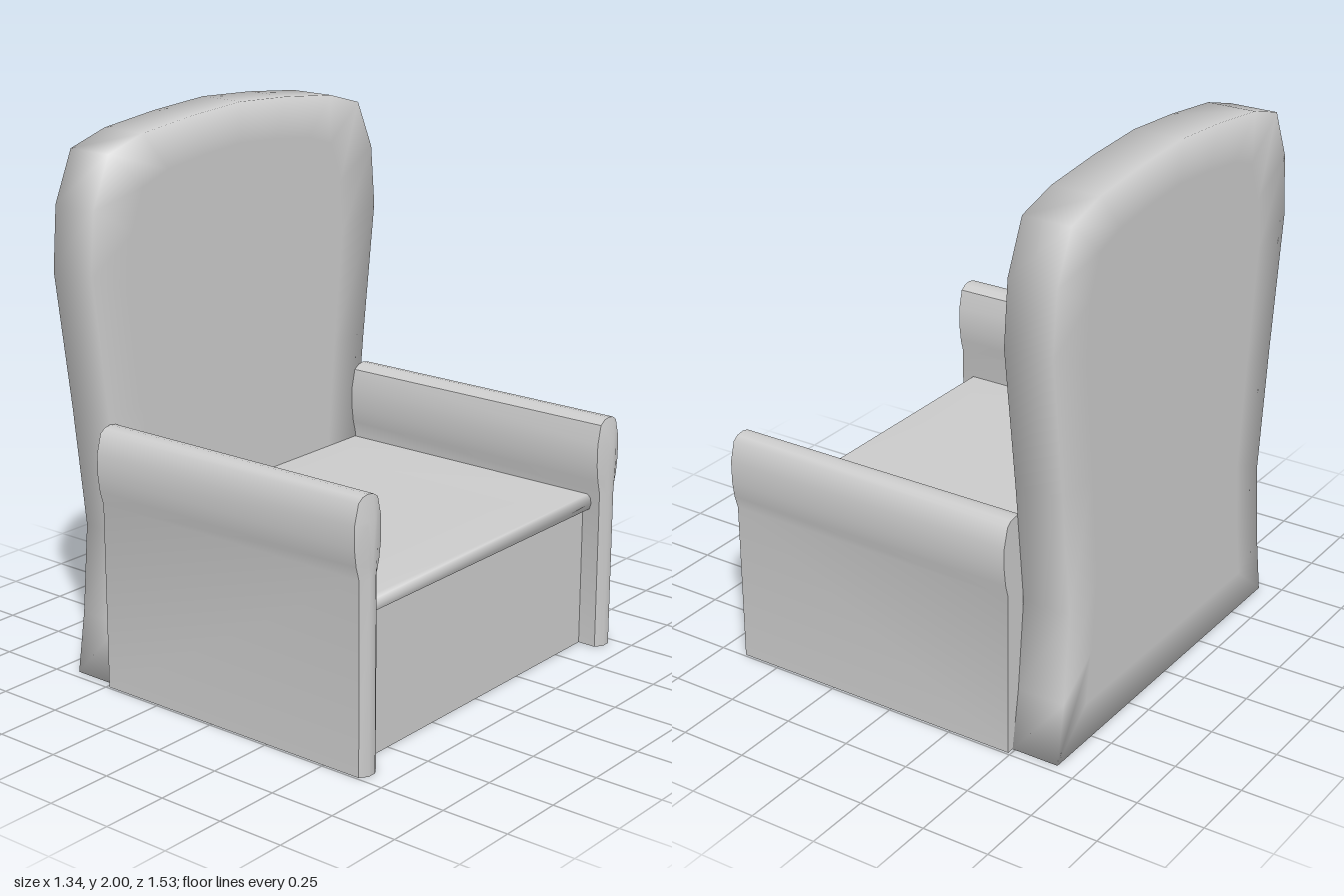
import * as THREE from 'three';
import { toCreasedNormals } from 'three/addons/utils/BufferGeometryUtils.js';

const material = new THREE.MeshStandardMaterial({ color: 0xcccccc });

// Skin a list of matching closed rings of [x, y, z] points and cap both ends.
function loft(rings) {
  const n = rings[0].length;
  const points = rings.flat();
  const index = [];
  for (let r = 0; r < rings.length - 1; r++) {
    for (let i = 0; i < n; i++) {
      const j = (i + 1) % n;
      const a = r * n + i, b = r * n + j, c = a + n, d = b + n;
      index.push(a, b, d, a, d, c);
    }
  }
  [0, rings.length - 1].forEach((r, end) => {
    const centre = [0, 1, 2].map(k => rings[r].reduce((s, p) => s + p[k], 0) / n);
    const c = points.push(centre) - 1;
    for (let i = 0; i < n; i++) {
      const a = r * n + i, b = r * n + (i + 1) % n;
      if (end) index.push(c, a, b);
      else index.push(c, b, a);
    }
  });

  // Turn the faces outward if the rings ran the other way.
  const v = points.map(p => new THREE.Vector3(...p));
  let volume = 0;
  for (let t = 0; t < index.length; t += 3) {
    volume += v[index[t]].dot(v[index[t + 1]].clone().cross(v[index[t + 2]]));
  }
  if (volume < 0) index.reverse();

  const geometry = new THREE.BufferGeometry().setFromPoints(v);
  geometry.setIndex(index);
  geometry.computeVertexNormals();
  return geometry;
}

function addPart(group, name, geometry) {
  const mesh = new THREE.Mesh(geometry, material);
  mesh.name = name;
  group.add(mesh);
  return mesh;
}

// Tall backrest: a waisted outline with softened shading towards its rim.
function backrestGeometry() {
  const half = [
    [0.715, 0], [0.68, 0.22], [0.65, 0.55], [0.70, 1.0], [0.765, 1.5],
    [0.745, 1.73], [0.665, 1.91], [0.5, 1.958], [0.25, 1.985],
  ];
  const mirrored = half.map(([z, y]) => [-z, y]).reverse();
  const outline = [...half, [0, 2], ...mirrored];
  const ring = (x, sz, sy) => outline.map(([z, y]) => [x, 1 + (y - 1) * sy, z * sz]);
  return loft([ring(-0.67, 0.75, 0.85), ring(-0.67, 1, 1), ring(-0.49, 1, 1), ring(-0.49, 0.75, 0.85)]);
}

// Arm: thin side panel with a padded roll on top and a shallow domed front.
function armGeometry(side, drop) {
  const mid = 0.697;
  const section = [
    [0.742, 0], [0.742, 0.69], [0.757, 0.74], [0.765, 0.80], [0.765, 0.88], [0.745, 0.95], [0.725, 0.965],
    [0.697, 0.97], [0.67, 0.965], [0.647, 0.95], [0.63, 0.88], [0.63, 0.80], [0.638, 0.74], [0.652, 0.69], [0.652, 0],
  ].map(([z, y]) => [z, y > 0 ? y - drop : 0]);
  const ring = x => section.map(([z, y]) => [x, y, side * z]);
  const top = 0.97 - drop;
  const nose = section.map(([z, y]) => [0.67, y > top - 0.1 ? top - 0.1 + (y - top + 0.1) * 0.2 : y, side * (mid + (z - mid) * 0.35)]);
  return toCreasedNormals(loft([ring(-0.49), ring(0.65), nose]), 0.7);
}

// Seat: flat slab with a rounded front lip.
function seatGeometry() {
  const ring = (y, x0, x1, z) => [[x0, y, z], [x1, y, z], [x1, y, -z], [x0, y, -z]];
  return loft([
    ring(0.523, -0.49, 0.59, 0.65),
    ring(0.535, -0.49, 0.61, 0.65),
    ring(0.557, -0.49, 0.616, 0.65),
    ring(0.578, -0.49, 0.612, 0.65),
    ring(0.59, -0.49, 0.60, 0.65),
    ring(0.59, -0.28, 0.42, 0.35),
  ]);
}

export function createModel() {
  const model = new THREE.Group();
  model.name = 'armchair';

  addPart(model, 'backrest', backrestGeometry());
  addPart(model, 'frontArm', armGeometry(1, 0));
  addPart(model, 'rearArm', armGeometry(-1, 0.087));
  addPart(model, 'seat', seatGeometry());

  // Box base between the arms, set back under the seat lip.
  const base = addPart(model, 'base', new THREE.BoxGeometry(1.07, 0.53, 1.31));
  base.position.set(0.045, 0.265, 0);

  return model;
}
